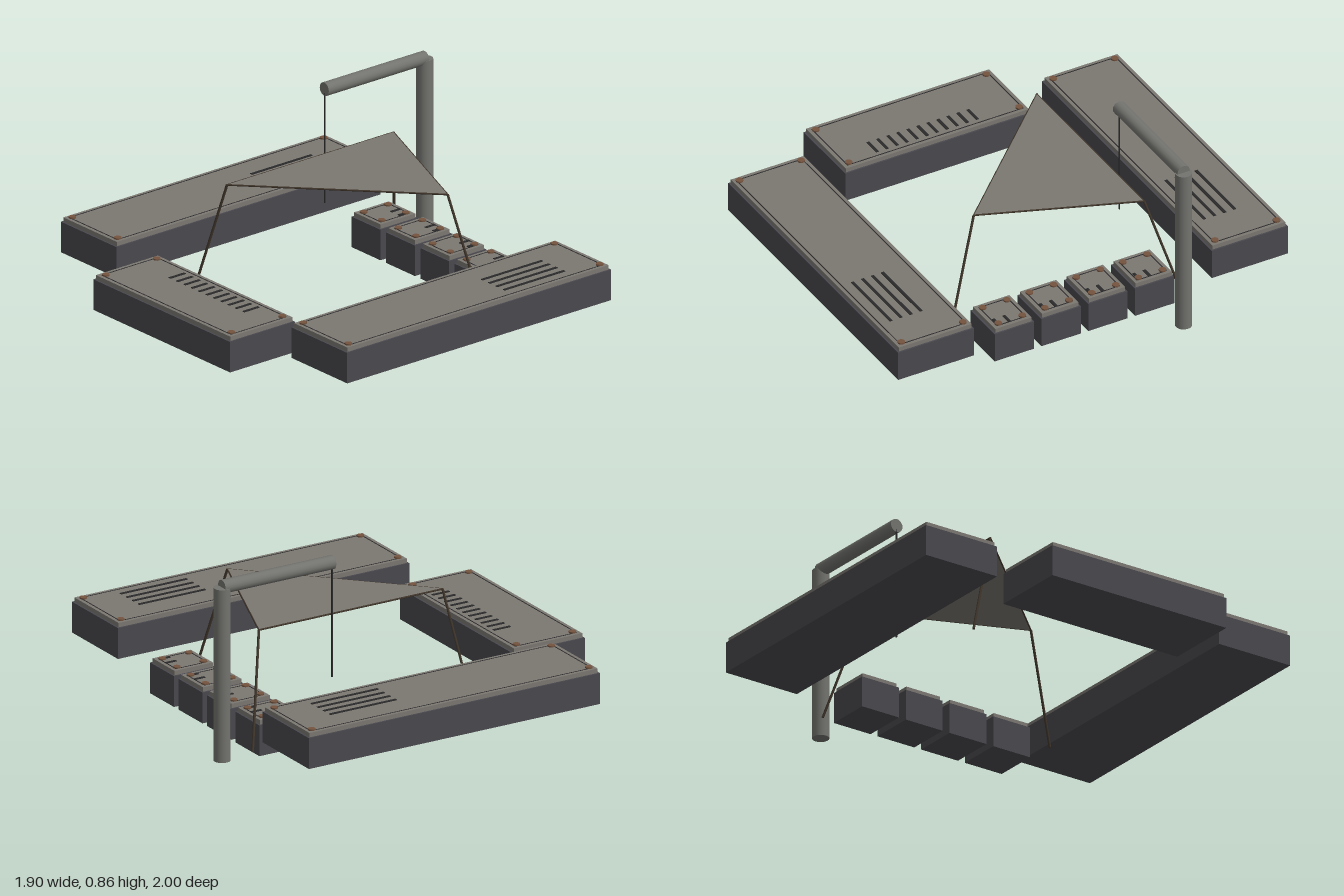
import * as THREE from 'three';

const mat = (name, color) => {
  const m = new THREE.MeshStandardMaterial({ color });
  m.name = name;
  return m;
};

export function createModel() {
  const concrete = mat('dark concrete', 0x49484e);
  const slab = mat('grey slab', 0x7b7771);
  const steel = mat('grey steel', 0x73736f);
  const groove = mat('dark groove', 0x2b2a2b);
  const copper = mat('copper bolt', 0x75543f);
  const pole = mat('dark bronze', 0x40362b);

  const root = new THREE.Group();
  root.name = 'plazaCanopy';

  const add = (parent, name, geo, material, x = 0, y = 0, z = 0) => {
    const m = new THREE.Mesh(geo, material);
    m.name = name;
    m.position.set(x, y, z);
    parent.add(m);
    return m;
  };

  // Cylinder running between two points
  const rod = (parent, name, a, b, r, material, sides = 8) => {
    const p = new THREE.Vector3(...a), q = new THREE.Vector3(...b);
    const d = q.clone().sub(p);
    const m = add(parent, name, new THREE.CylinderGeometry(r, r, d.length(), sides), material);
    m.position.copy(p).add(q).multiplyScalar(0.5);
    m.quaternion.setFromUnitVectors(new THREE.Vector3(0, 1, 0), d.normalize());
    return m;
  };

  // Block with an inset lid, a grooved border, corner bolts and slots.
  // slots: list of [x, z, length] measured from the block centre.
  const block = (name, x, y, z, w, d, boltInset, slots) => {
    const g = new THREE.Group();
    g.name = name;
    g.position.set(x, y, z);
    root.add(g);
    const bodyH = 0.147, top = 0.168;
    add(g, 'body', new THREE.BoxGeometry(w, bodyH, d), concrete, 0, bodyH / 2, 0);
    add(g, 'lid', new THREE.BoxGeometry(w - 0.016, top - bodyH, d - 0.016), slab, 0, (top + bodyH) / 2, 0);
    const bw = w - 0.054, bd = d - 0.054;
    for (const s of [-1, 1]) {
      add(g, 'borderGroove', new THREE.BoxGeometry(bw, 0.002, 0.005), groove, 0, top, s * bd / 2);
      add(g, 'borderGroove', new THREE.BoxGeometry(0.005, 0.002, bd), groove, s * bw / 2, top, 0);
      for (const t of [-1, 1]) {
        add(g, 'bolt', new THREE.CylinderGeometry(0.017, 0.017, 0.008, 12), copper,
          s * (w / 2 - boltInset), top + 0.003, t * (d / 2 - boltInset));
      }
    }
    for (const [sx, sz, len] of slots) {
      add(g, 'slot', new THREE.BoxGeometry(len, 0.004, 0.014), groove, sx, top + 0.001, sz);
    }
  };

  // Long blocks at front and back
  const longSlots = [-0.04, 0.011, 0.062, 0.114].map((z) => [0.385, z, 0.35]);
  block('backBlock', 0.055, 0.13, -0.805, 1.53, 0.39, 0.037, longSlots);
  block('frontBlock', 0.055, 0.13, 0.805, 1.53, 0.39, 0.037, longSlots);

  // Side block with a row of eleven slots
  const sideSlots = Array.from({ length: 11 }, (_, i) => [0.094, -0.23 + i * 0.0514, 0.088]);
  block('sideBlock', -0.765, 0.08, -0.003, 0.375, 0.955, 0.04, sideSlots);

  // Row of stools
  for (let i = 0; i < 4; i++) {
    block('stool', 0.636, 0, -0.36 + i * 0.24, 0.217, 0.202, 0.039,
      [[0.056, 0.01, 0.055], [0.056, 0.063, 0.055]]);
  }

  // Lamp post with arm and hanging cable
  const mast = new THREE.Group();
  mast.name = 'mast';
  root.add(mast);
  rod(mast, 'post', [0.911, 0, -0.413], [0.911, 0.825, -0.413], 0.039, steel, 16);
  rod(mast, 'arm', [0.33, 0.828, -0.413], [0.912, 0.828, -0.413], 0.032, steel, 16);
  rod(mast, 'cable', [0.333, 0.81, -0.413], [0.333, 0.28, -0.413], 0.004, groove);

  // Triangular canopy on three splayed poles
  const corners = [[-0.29, -0.345], [0.675, -0.345], [0.395, 0.37]];
  const feet = [[-0.357, -0.485], [0.795, -0.485], [0.465, 0.525]];
  const shape = new THREE.Shape(corners.map(([x, z]) => new THREE.Vector2(x, z)));
  const sail = add(root, 'canopy',
    new THREE.ExtrudeGeometry(shape, { depth: 0.006, bevelEnabled: false }), slab, 0, 0.554, 0);
  sail.rotation.x = Math.PI / 2;
  corners.forEach(([x, z], i) => {
    rod(root, 'canopyPole', [feet[i][0], 0.04, feet[i][1]], [x, 0.551, z], 0.006, pole);
    // Edge wire to the next corner
    const [nx, nz] = corners[(i + 1) % 3];
    rod(root, 'edgeWire', [x, 0.551, z], [nx, 0.551, nz], 0.004, pole, 6);
  });

  return root;
}
